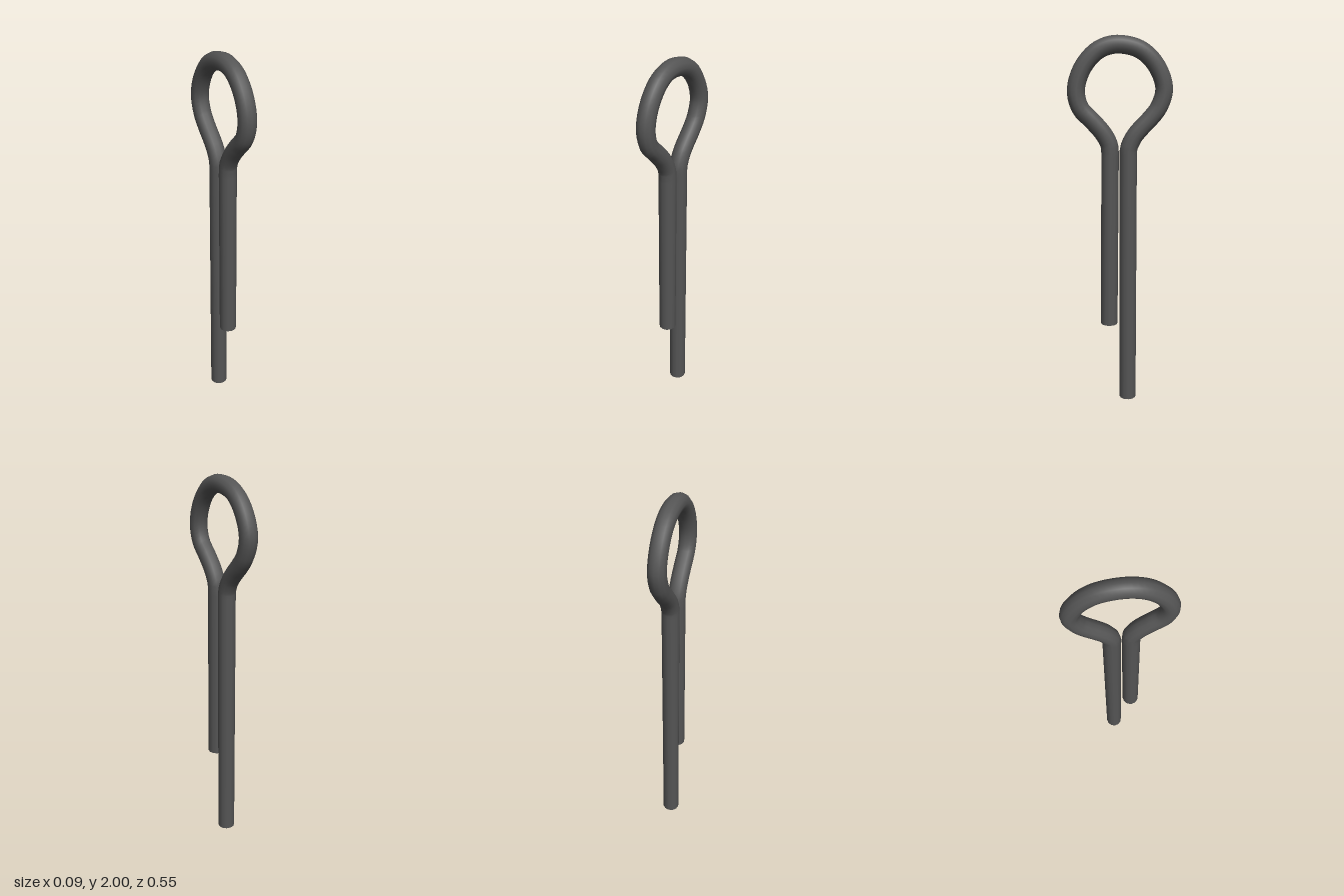
import * as THREE from 'three';

const RADIUS = 0.046;
const SIDES = 12;

export function createModel() {
  const group = new THREE.Group();
  group.name = 'splitPin';
  const material = new THREE.MeshStandardMaterial({ color: 0x555555 });
  const point = ([z, y]) => new THREE.Vector3(0, y, z);

  // Centre line of the eye, from the long leg round to the short leg
  const eye = [
    [-0.04, 1.40], [-0.044, 1.43], [-0.07, 1.485], [-0.107, 1.53], [-0.155, 1.58], [-0.2, 1.64],
    [-0.225, 1.735], [-0.182, 1.85], [-0.1, 1.928], [0.02, 1.954], [0.11, 1.928], [0.182, 1.857],
    [0.222, 1.77], [0.228, 1.70], [0.205, 1.63], [0.15, 1.572], [0.093, 1.507],
    [0.06, 1.445], [0.055, 1.40],
  ].map(point);
  const longEnd = point([-0.04, 0]);
  const shortEnd = point([0.063, 0.449]);

  // One bent wire: long leg, eye, short leg
  const path = new THREE.CurvePath();
  path.add(new THREE.LineCurve3(longEnd, eye[0]));
  path.add(new THREE.CatmullRomCurve3(eye, false, 'centripetal'));
  path.add(new THREE.LineCurve3(eye[eye.length - 1], shortEnd));
  const wire = new THREE.Mesh(new THREE.TubeGeometry(path, 160, RADIUS, SIDES), material);
  wire.name = 'bentWire';
  group.add(wire);

  // Flat cut ends facing down
  for (const [name, end, tilt] of [['longLegEnd', longEnd, 0], ['shortLegEnd', shortEnd, 0.008]]) {
    const cap = new THREE.Mesh(new THREE.CircleGeometry(RADIUS, SIDES), material);
    cap.name = name;
    cap.position.copy(end);
    cap.rotation.x = Math.PI / 2 - tilt;
    group.add(cap);
  }
  return group;
}
